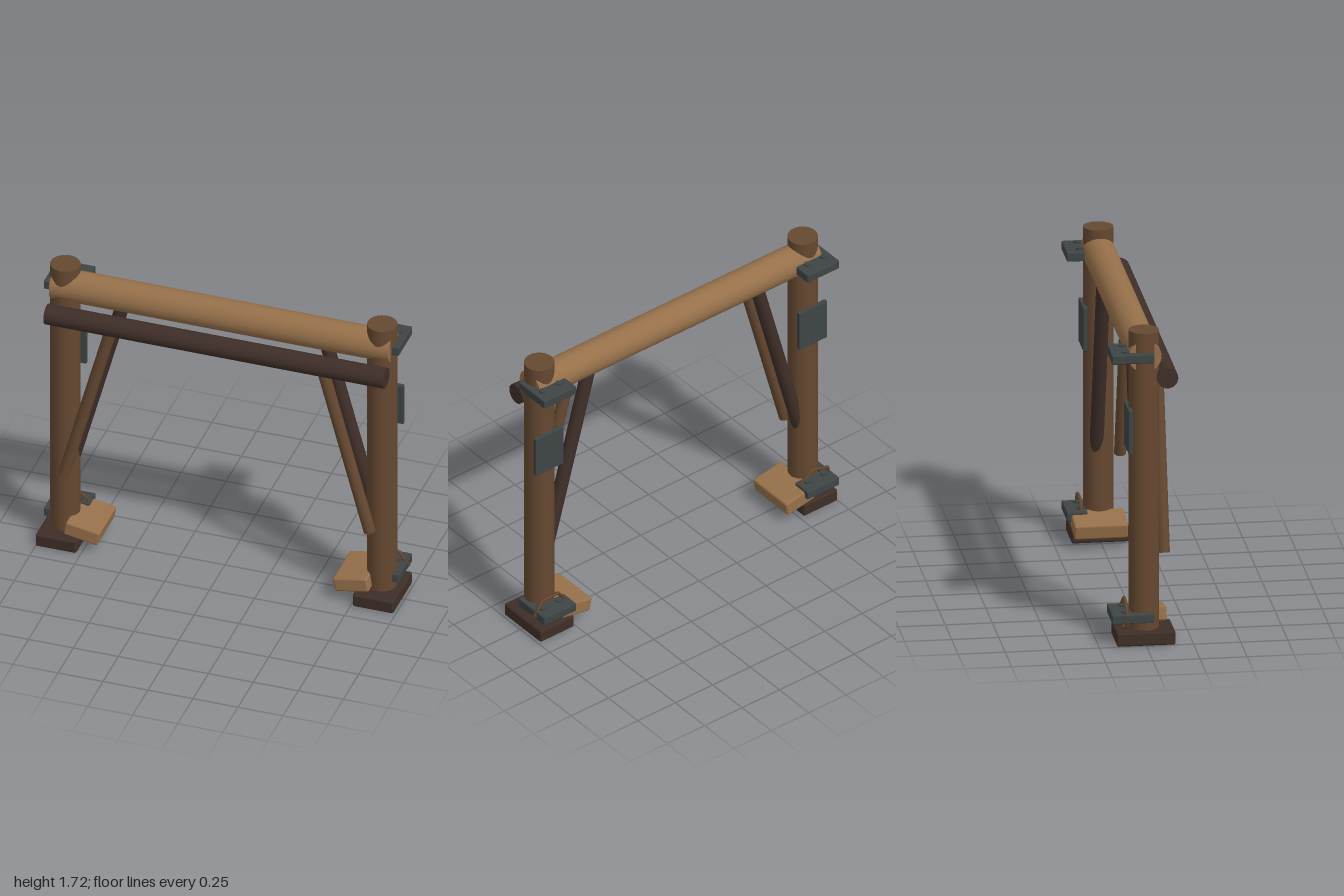
import * as THREE from 'three';
import { RoundedBoxGeometry } from 'three/addons/geometries/RoundedBoxGeometry.js';

const mat = (color) => new THREE.MeshStandardMaterial({ color });
const bark = mat(0x654831);
const tan = mat(0x96704a);
const dark = mat(0x3f2e28);
const iron = mat(0x3e4444);

function add(parent, name, geometry, material, x = 0, y = 0, z = 0) {
  const mesh = new THREE.Mesh(geometry, material);
  mesh.name = name;
  mesh.position.set(x, y, z);
  parent.add(mesh);
  return mesh;
}

// Round log running between two points
function log(parent, name, a, b, radius, material) {
  const from = new THREE.Vector3(...a);
  const to = new THREE.Vector3(...b);
  const dir = to.clone().sub(from);
  const geometry = new THREE.CylinderGeometry(radius, radius, dir.length(), 32);
  const mesh = add(parent, name, geometry, material);
  mesh.position.copy(from).add(to).multiplyScalar(0.5);
  mesh.quaternion.setFromUnitVectors(new THREE.Vector3(0, 1, 0), dir.normalize());
  return mesh;
}

const block = (w, h, d, r) => new RoundedBoxGeometry(w, h, d, 2, r);

// L-shaped iron bracket wrapping the back and outer side of a post
function bracket(parent, name, s, y) {
  const group = new THREE.Group();
  group.name = name;
  group.position.y = y;
  add(group, 'backPlate', block(0.214, 0.05, 0.11, 0.006), iron, s * 0.88, 0, -0.125);
  add(group, 'sideArm', block(0.045, 0.05, 0.222, 0.006), iron, s * 0.9645, 0, -0.068);
  for (const x of [0.83, 0.94]) {
    add(group, 'bolt', new THREE.CylinderGeometry(0.02, 0.02, 0.07, 6), iron, s * x, 0, -0.105);
  }
  parent.add(group);
}

export function createModel() {
  const model = new THREE.Group();
  model.name = 'timberGate';
  const frame = new THREE.Group();
  frame.name = 'frame';
  frame.position.x = -0.006;
  model.add(frame);

  // Cross beams
  log(frame, 'topBeam', [-0.943, 1.585, 0], [0.943, 1.585, 0], 0.087, tan);
  log(frame, 'frontBeam', [-0.943, 1.46, 0.12], [0.943, 1.46, 0.12], 0.056, dark);

  for (const s of [-1, 1]) {
    const side = new THREE.Group();
    side.name = s > 0 ? 'leftSide' : 'rightSide';
    frame.add(side);

    // Post and its footing
    log(side, 'post', [s * 0.881, 0.02, 0], [s * 0.881, 1.717, 0], 0.08, bark);
    add(side, 'foot', block(0.228, 0.075, 0.312, 0.012), dark, s * 0.881, 0.0375, 0);
    const wedge = add(side, 'wedgeBlock', block(0.192, 0.082, 0.285, 0.012), tan, s * 0.748, 0.112, -0.013);
    wedge.rotation.z = s * 0.18;

    // Diagonal braces, one in front and one in line with the post
    log(side, 'frontBrace', [s * 0.849, 0.467, 0.112], [s * 0.577, 1.475, 0.112], 0.032, bark);
    log(side, 'innerBrace', [s * 0.849, 0.467, -0.015], [s * 0.562, 1.53, -0.015], 0.037, dark);

    // Iron fittings
    bracket(side, 'topBracket', s, 1.585);
    bracket(side, 'footBracket', s, 0.148);
    add(side, 'backPlate', block(0.187, 0.24, 0.024, 0.004), iron, s * 0.881, 1.176, -0.08);

    // Rope loop at the foot
    const ring = new THREE.TorusGeometry(0.1, 0.01, 6, 6);
    ring.rotateZ(s > 0 ? 0 : 0.35).scale(1.06, 0.85, 1);
    add(side, 'ropeLoop', ring, bark, s * 0.886, 0.15, -0.102);
  }
  return model;
}
